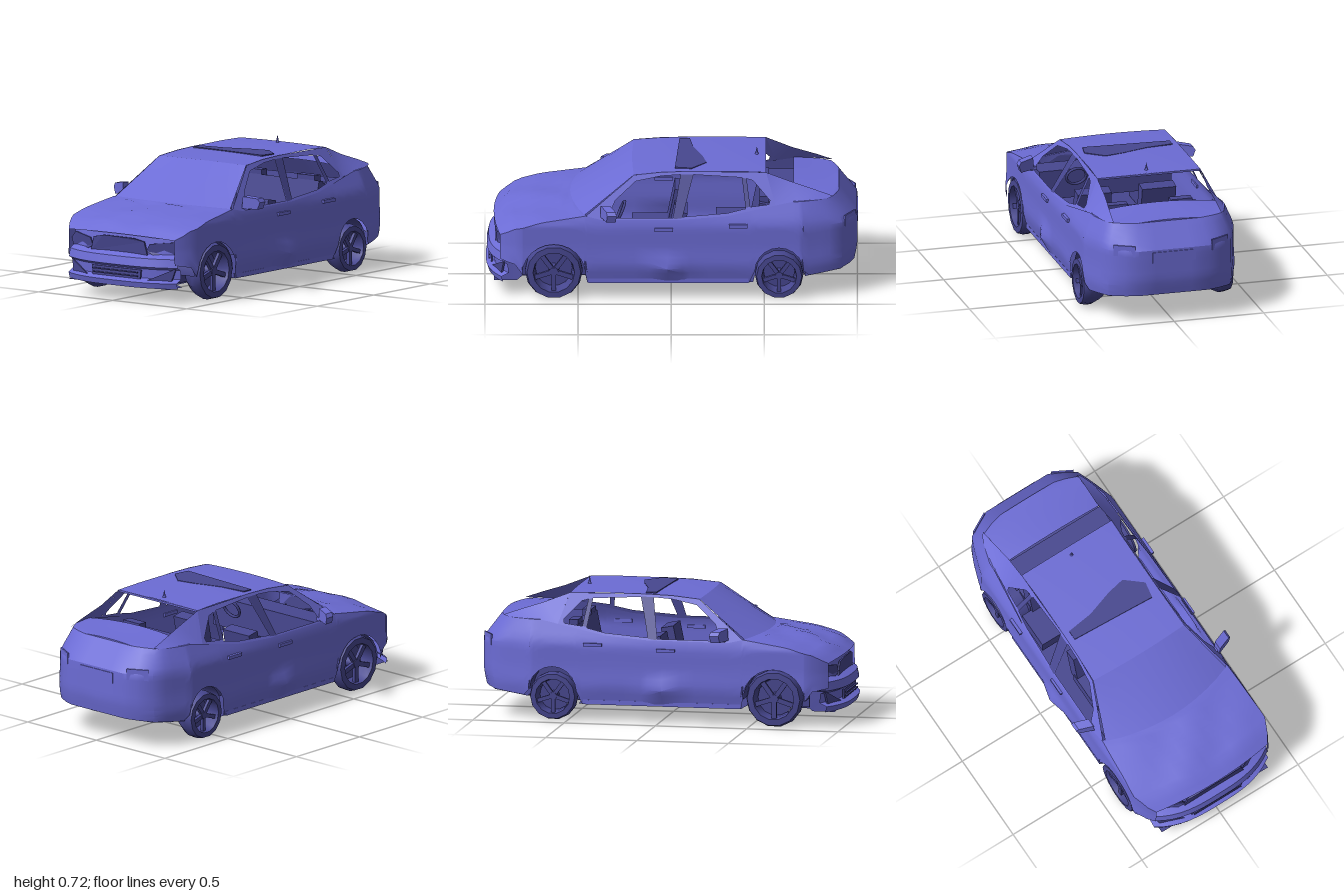
import * as THREE from 'three';
import { toCreasedNormals } from 'three/addons/utils/BufferGeometryUtils.js';

const material = (name, color) => {
  const m = new THREE.MeshStandardMaterial({ color, side: THREE.DoubleSide });
  m.name = name;
  return m;
};
const paint = material('blue paint', 0x6c6cd5);
const dark = material('dark blue trim', 0x474790);

// Piecewise linear lookup in [[t, value], ...] with t rising.
function table(pts, t) {
  if (t <= pts[0][0]) return pts[0][1];
  for (let i = 1; i < pts.length; i++) {
    const [a, va] = pts[i - 1], [b, vb] = pts[i];
    if (t <= b) return va + (vb - va) * (t - a) / (b - a);
  }
  return pts[pts.length - 1][1];
}

// Surface through rows of [x, y, z] points, all rows the same length.
function loft(rows) {
  const n = rows[0].length, index = [];
  for (let i = 0; i < rows.length - 1; i++) {
    for (let j = 0; j < n - 1; j++) {
      const a = i * n + j, b = a + n;
      index.push(a, a + 1, b, a + 1, b + 1, b);
    }
  }
  const g = new THREE.BufferGeometry();
  g.setAttribute('position', new THREE.Float32BufferAttribute(rows.flat(2), 3));
  g.setIndex(index);
  return toCreasedNormals(g, 0.6);
}

function add(parent, name, geometry, x = 0, y = 0, z = 0, mat = paint) {
  const m = new THREE.Mesh(geometry, mat);
  m.name = name;
  m.position.set(x, y, z);
  parent.add(m);
  return m;
}

const addDark = (parent, name, geometry, x, y, z) => add(parent, name, geometry, x, y, z, dark);
const box = (w, h, d) => new THREE.BoxGeometry(w, h, d);
const range = (n, f) => Array.from({ length: n + 1 }, (_, i) => f(i / n));
const vectors = pts => pts.map(p => new THREE.Vector2(...p));
const extrude = (pts, depth) => new THREE.ExtrudeGeometry(new THREE.Shape(vectors(pts)), { depth, bevelEnabled: false });

// Move every vertex by a rule [x, y, z] -> [x, y, z]
function bend(g, rule) {
  const p = g.attributes.position;
  for (let i = 0; i < p.count; i++) p.setXYZ(i, ...rule(p.getX(i), p.getY(i), p.getZ(i)));
  g.computeVertexNormals();
  return g;
}

// Body rules: plan width, belt line, side section, sill and wheel arches
const WIDTH = [[-1, 0.2], [-0.97, 0.27], [-0.92, 0.345], [-0.85, 0.375], [-0.7, 0.425], [0.8, 0.425], [0.88, 0.39], [0.92, 0.36]];
const BELT = [[-0.9, 0.55], [-0.65, 0.545], [-0.5, 0.515], [-0.3, 0.475], [-0.06, 0.457], [0.38, 0.457], [0.46, 0.475], [0.7, 0.44], [0.84, 0.4], [0.92, 0.355]];
const SECTION = [[0.1, 0.95], [0.2, 1], [0.3, 0.985], [0.42, 0.985], [0.46, 0.955], [0.55, 0.86]];
const SILL = [[-1, 0.165], [-0.74, 0.14], [-0.72, 0.12], [-0.44, 0.1], [0.5, 0.1], [0.82, 0.2], [0.92, 0.22]];
const ARCHES = [{ z: 0.63, y: 0.15, r: 0.17 }, { z: -0.58, y: 0.17, r: 0.13 }];

function sillAt(z) {
  for (const a of ARCHES) {
    const d = Math.abs(z - a.z);
    if (d < a.r + 0.0001) return a.y + Math.sqrt(Math.max(0, a.r * a.r - d * d));
  }
  return table(SILL, z);
}

function bodyPoint([px, pz], v) {
  const low = sillAt(pz), y = low + (table(BELT, pz) - low) * v;
  const bulge = 0.03 * Math.max(0, 1 - Math.abs(pz - 0.02) / 0.12) * Math.max(0, 1 - Math.abs(y - 0.19) / 0.09);
  const tail = Math.min(1, Math.max(0, (-pz - 0.8) / 0.2));
  const z = pz + tail * (Math.max(0, y - 0.42) * 0.75 + Math.max(0, 0.25 - y) * 0.2);
  return [px * table(SECTION, y) + bulge, y, z];
}

const arc = (a, n) => range(n, t => a.z + a.r * Math.cos(Math.PI * t));
const sideZ = [0.92, 0.88, 0.84, ...arc(ARCHES[0], 12), 0.45, 0.38, 0.2, 0.12, 0.02, -0.06, -0.1, -0.2, -0.3, -0.42,
  ...arc(ARCHES[1], 10), -0.74, -0.8, -0.85, -0.92, -0.97];
const plan = [...sideZ.map(z => [table(WIDTH, z), z]), [0.2, -1], [0.1, -1], [0, -1]];

// Sheet spanning the car between mirrored edge points
const span = (edge, rise, push) => loft(edge.map(([x, y, z]) => range(10, t => {
  const u = 2 * t - 1, c = 1 - u * u;
  return [x * u, y + rise(u, z) * c, z + push(z) * c];
})));

// Front face rules: outline by height, swept back towards the corners
const NOSE = [[0.09, 0.985], [0.12, 0.995], [0.14, 0.955], [0.19, 0.96], [0.205, 0.99], [0.25, 0.98], [0.27, 0.94], [0.34, 0.935], [0.37, 0.93]];
const sweep = x => 0.08 * Math.pow(Math.abs(x) / 0.36, 3);
const nosePlate = (pts, z0, depth) => bend(extrude(pts, depth), (x, y, z) => [x, y, z + z0 - sweep(x)]);

// Flat (z, y) outline leaned inwards onto the cabin side
function leaned(pts, holes = [], out = 0) {
  const s = new THREE.Shape(vectors(pts));
  for (const h of holes) s.holes.push(new THREE.Path(vectors(h)));
  return bend(new THREE.ShapeGeometry(s), (z, y) => [0.405 - (y - 0.457) * 0.515 + out, y, z]);
}

const FRAME = [[0.46, 0.472], [0.2, 0.672], [0.05, 0.686], [-0.1, 0.69], [-0.51, 0.685], [-0.56, 0.525],
  [-0.5, 0.51], [-0.3, 0.47], [-0.06, 0.45], [0.38, 0.45]];
const WINDOWS = [
  [[0.34, 0.465], [0.3, 0.55], [0.19, 0.642], [0.05, 0.668], [-0.05, 0.674], [-0.01, 0.465]],
  [[-0.06, 0.47], [-0.12, 0.674], [-0.38, 0.66], [-0.4, 0.51], [-0.3, 0.488]],
  [[-0.425, 0.518], [-0.405, 0.655], [-0.44, 0.645], [-0.53, 0.55], [-0.525, 0.53]],
];
// Rear pillar: upper edge beside the rear window, lower edge on the belt
const REAR_PILLAR = [
  [[0.288, 0.685, -0.51], [0.37, 0.525, -0.56]],
  [[0.285, 0.63, -0.65], [0.362, 0.546, -0.68]],
  [[0.296, 0.588, -0.78], [0.338, 0.55, -0.8]],
  [[0.3, 0.556, -0.87], [0.318, 0.55, -0.85]],
];

function makeWheel(name, scale) {
  const wheel = new THREE.Group();
  wheel.name = name;
  const profile = [[0.1, -0.065], [0.113, -0.064], [0.135, -0.035], [0.155, 0.002], [0.155, 0.03], [0.145, 0.062], [0.112, 0.064], [0.104, 0.02], [0.1, -0.065]];
  addDark(wheel, 'tyre', toCreasedNormals(new THREE.LatheGeometry(vectors(profile), 14), 0.6));
  addDark(wheel, 'brakeDisc', new THREE.CylinderGeometry(0.1, 0.1, 0.01, 14), 0, -0.02, 0);
  addDark(wheel, 'hub', new THREE.CylinderGeometry(0.024, 0.03, 0.06, 10), 0, 0.02, 0);
  for (let i = 0; i < 5; i++) {
    const a = i * Math.PI * 2 / 5;
    addDark(wheel, 'spoke', box(0.09, 0.018, 0.026), 0.062 * Math.cos(a), 0.038, -0.062 * Math.sin(a)).rotation.y = a;
  }
  wheel.rotation.z = -Math.PI / 2;
  wheel.scale.set(scale, 1, scale);
  return wheel;
}

function makeSide() {
  const side = new THREE.Group();
  add(side, 'bodySide', loft(plan.map(p => range(12, v => bodyPoint(p, v)))));
  add(side, 'windowFrame', leaned(FRAME, WINDOWS));
  add(side, 'rearPillar', loft(REAR_PILLAR));
  addDark(side, 'doorPillar', leaned([[-0.012, 0.46], [-0.05, 0.676], [-0.118, 0.676], [-0.06, 0.465]], [], 0.003));
  addDark(side, 'quarterPost', leaned([[-0.4, 0.515], [-0.38, 0.66], [-0.405, 0.655], [-0.425, 0.52]], [], 0.003));
  for (const a of ARCHES) {
    const well = new THREE.CylinderGeometry(a.r, a.r, 0.13, 14, 1, true, 0, Math.PI).rotateZ(Math.PI / 2);
    addDark(side, 'wheelWell', well, 0.335, a.y, a.z);
    addDark(side, 'wellWall', box(0.005, a.y + a.r - 0.1, a.r * 2), 0.27, (a.y + a.r + 0.1) / 2, a.z);
  }
  const front = makeWheel('frontWheel', 1), rear = makeWheel('rearWheel', 0.84);
  front.position.set(0.355, 0.16, 0.63);
  rear.position.set(0.355, 0.138, -0.58);
  side.add(front, rear);
  // Door mirror
  add(side, 'mirrorArm', box(0.05, 0.02, 0.03), 0.405, 0.472, 0.35);
  const shell = extrude([[0.4, 0.47], [0.48, 0.467], [0.493, 0.505], [0.48, 0.525], [0.405, 0.535]], 0.05);
  add(side, 'mirrorShell', bend(shell, (x, y, z) => [x, y, z + 0.33 - (x - 0.4) * 0.4]));
  add(side, 'frontDoorHandle', box(0.02, 0.018, 0.1), 0.42, 0.405, 0.04);
  add(side, 'rearDoorHandle', box(0.02, 0.018, 0.1), 0.42, 0.425, -0.36);
  add(side, 'sillTrim', box(0.02, 0.025, 0.86), 0.4, 0.112, 0.015);
  // Lamps and bumper corner vents
  addDark(side, 'headlamp', nosePlate([[0.18, 0.285], [0.22, 0.265], [0.37, 0.258], [0.39, 0.3], [0.34, 0.34], [0.2, 0.325]], 0.94, 0.009));
  addDark(side, 'bumperVent', nosePlate([[0.2, 0.13], [0.33, 0.13], [0.35, 0.2], [0.32, 0.185]], 0.965, 0.009));
  add(side, 'tailLamp', box(0.12, 0.06, 0.008), 0.266, 0.42, -0.961).rotation.y = -0.5;
  // Seats
  addDark(side, 'seatBase', box(0.2, 0.08, 0.22), 0.18, 0.22, 0.1);
  addDark(side, 'seatBack', box(0.19, 0.24, 0.07), 0.18, 0.335, -0.03).rotation.x = -0.2;
  addDark(side, 'rearHeadrest', box(0.12, 0.06, 0.05), 0.18, 0.5, -0.5);
  return side;
}

export function createModel() {
  const car = new THREE.Group();
  car.name = 'car';
  const left = makeSide(), right = makeSide();
  left.name = 'leftSide';
  right.name = 'rightSide';
  right.scale.x = -1;
  car.add(left, right);

  // Crumpled bonnet, and boot lid
  const top = plan.map(p => bodyPoint(p, 1));
  const crumple = (u, z) => 0.012 + (z < 0.88 && z > 0.5 ? 0.008 * Math.sin(u * 7 + z * 12) : 0);
  add(car, 'bonnet', span(top.filter(p => p[2] > 0.44), crumple, z => 0.08 - (z - 0.45) * 0.1));
  add(car, 'bootLid', span(top.filter(p => p[2] < -0.63), (u, z) => Math.max(0.008, 0.03 - (-z - 0.65) * 0.1), () => 0));

  // Windscreen and roof
  const screen = [[0.388, 0.472, 0.47], [0.338, 0.575, 0.33], [0.292, 0.672, 0.2]];
  add(car, 'windscreen', span(screen, () => 0.004, z => (z - 0.2) * 0.3 + 0.01));
  const roof = [[0.292, 0.672, 0.2], [0.287, 0.684, 0.05], [0.285, 0.689, -0.1], [0.285, 0.69, -0.35], [0.288, 0.685, -0.51]];
  add(car, 'roof', span(roof, () => 0.004, z => (z > 0.1 ? 0.01 : 0)));
  const patch = [[-0.25, 0.1], [-0.25, 0.045], [0.23, 0.02], [0.245, 0.11], [0.15, 0.19], [0.05, 0.17], [-0.1, 0.12]];
  addDark(car, 'roofPatch', extrude(patch, 0.007).rotateX(-Math.PI / 2), 0, 0.688, 0);
  add(car, 'roofRearRail', box(0.57, 0.01, 0.025), 0, 0.679, -0.495);
  add(car, 'aerial', new THREE.ConeGeometry(0.01, 0.045, 6), 0, 0.71, -0.46);

  // Front face
  add(car, 'frontFace', loft(NOSE.map(([y, z]) => range(16, t => {
    const x = (2 * t - 1) * 0.365;
    return [x, y, z - sweep(x)];
  }))));
  addDark(car, 'grille', nosePlate([[-0.19, 0.26], [0.19, 0.26], [0.17, 0.335], [0.1, 0.35], [-0.1, 0.35], [-0.17, 0.335]], 0.945, 0.009));
  addDark(car, 'lowerGrille', nosePlate([[-0.16, 0.135], [0.16, 0.135], [0.165, 0.185], [-0.165, 0.185]], 0.965, 0.009));
  for (const y of [0.15, 0.17]) addDark(car, 'grilleBar', box(0.3, 0.006, 0.01), 0, y, 0.975);
  add(car, 'rearPlate', box(0.24, 0.06, 0.008), 0, 0.38, -1);

  // Floor pan, narrowed beside the wheels
  const floor = [[0.34, 0.09, 0.95], [0.34, 0.09, 0.83], [0.28, 0.095, 0.8], [0.28, 0.1, 0.46], [0.4, 0.1, 0.45], [0.4, 0.1, -0.44],
    [0.28, 0.1, -0.45], [0.28, 0.115, -0.71], [0.4, 0.135, -0.72], [0.335, 0.155, -0.91], [0.2, 0.165, -0.98]];
  addDark(car, 'floor', span(floor, () => 0, () => 0));

  // Cabin
  addDark(car, 'dashboard', box(0.74, 0.16, 0.14), 0, 0.37, 0.4);
  addDark(car, 'steeringWheel', new THREE.TorusGeometry(0.055, 0.008, 6, 16), 0.18, 0.43, 0.27).rotation.x = -0.4;
  addDark(car, 'rearSeatBase', box(0.66, 0.09, 0.2), 0, 0.23, -0.34);
  addDark(car, 'rearSeatBack', box(0.54, 0.28, 0.07), 0, 0.36, -0.48).rotation.x = -0.2;
  addDark(car, 'parcelShelf', box(0.64, 0.01, 0.16), 0, 0.49, -0.59);
  return car;
}
